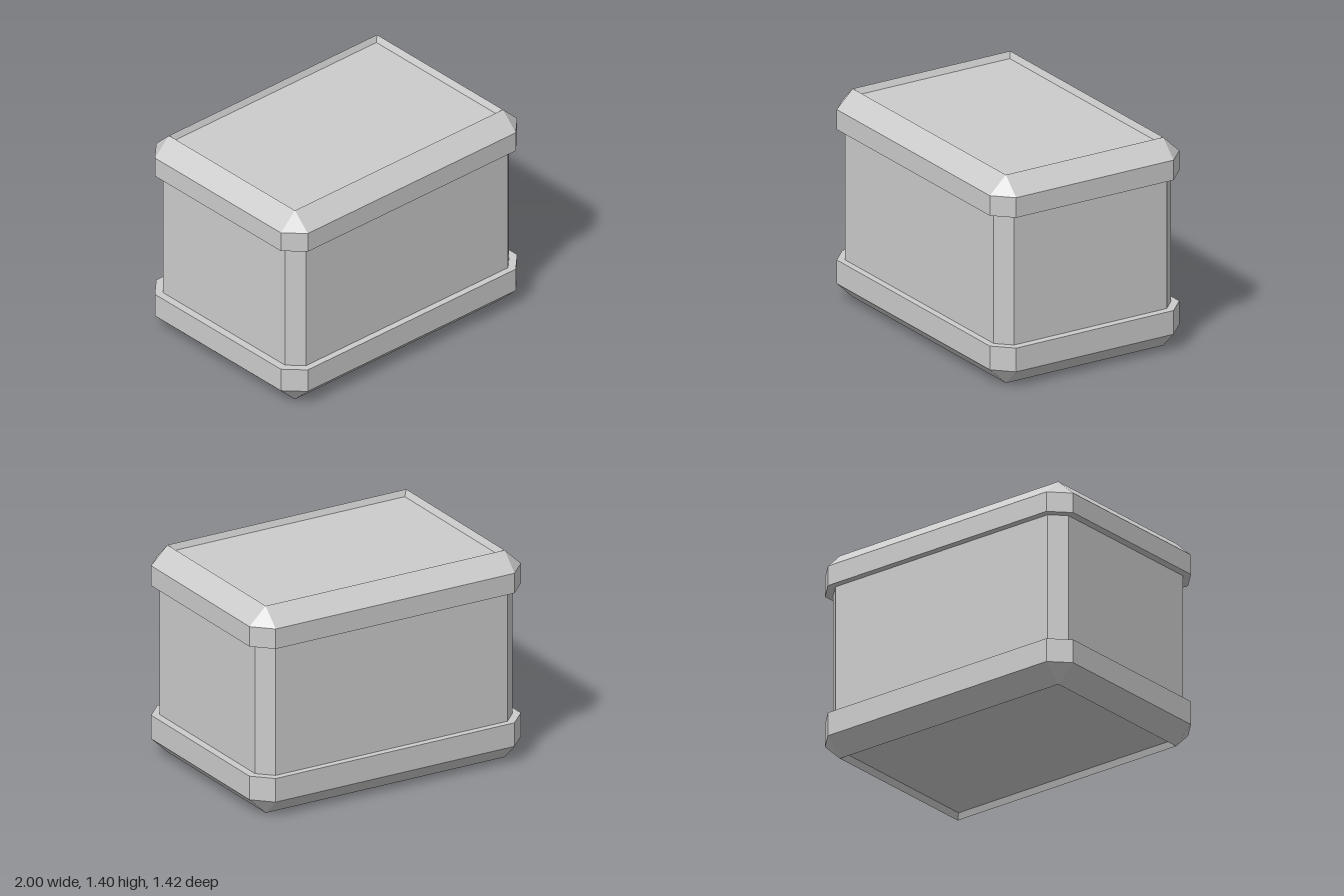
import * as THREE from 'three';

// Rectangle with cut corners, counter-clockwise seen from above.
// halfX, halfZ: half sizes; cut: corner chamfer (0 gives a plain rectangle).
function ring(y, halfX, halfZ, cut) {
  const a = halfX - cut, b = halfZ - cut;
  return [
    [-a, halfZ], [a, halfZ], [halfX, b], [halfX, -b],
    [a, -halfZ], [-a, -halfZ], [-halfX, -b], [-halfX, b],
  ].map(([x, z]) => new THREE.Vector3(x, y, z));
}

// Skins a stack of rings with flat faces; capStart / capEnd close the ends.
function loft(name, rings, material, capStart = false, capEnd = false) {
  const points = [];
  const tri = (a, b, c) => {
    if (new THREE.Triangle(a, b, c).getArea() > 1e-8) points.push(a, b, c);
  };
  const n = rings[0].length;
  for (let r = 0; r < rings.length - 1; r++) {
    for (let i = 0; i < n; i++) {
      const j = (i + 1) % n, lo = rings[r], hi = rings[r + 1];
      tri(lo[i], lo[j], hi[j]);
      tri(lo[i], hi[j], hi[i]);
    }
  }
  const first = rings[0], last = rings[rings.length - 1];
  for (let i = 1; i < n - 1; i++) {
    if (capStart) tri(first[0], first[i + 1], first[i]);
    if (capEnd) tri(last[0], last[i], last[i + 1]);
  }
  const geometry = new THREE.BufferGeometry().setFromPoints(points);
  geometry.computeVertexNormals();
  const mesh = new THREE.Mesh(geometry, material);
  mesh.name = name;
  return mesh;
}

export function createModel() {
  const group = new THREE.Group();
  group.name = 'crate';
  const material = new THREE.MeshStandardMaterial({ color: 0xcccccc, flatShading: true });

  const wall = (y) => ring(y, 0.948, 0.665, 0.093);
  const band = (y) => ring(y, 1, 0.71, 0.12);
  const rim = (y) => ring(y, 0.88, 0.59, 0);
  const panel = (y) => ring(y, 0.858, 0.572, 0);

  // Base: recessed underside, rim, bevel, upright band, ledge
  group.add(loft('base',
    [panel(0.04), rim(0), band(0.115), band(0.275), wall(0.275)], material, true, false));

  // Body: upright walls with chamfered corners
  group.add(loft('body', [wall(0.275), wall(1.155)], material));

  // Lid: overhang, upright band, bevel, rim, recessed top panel
  group.add(loft('lid',
    [wall(1.155), band(1.155), band(1.29), rim(1.405), panel(1.365)], material, false, true));

  return group;
}
